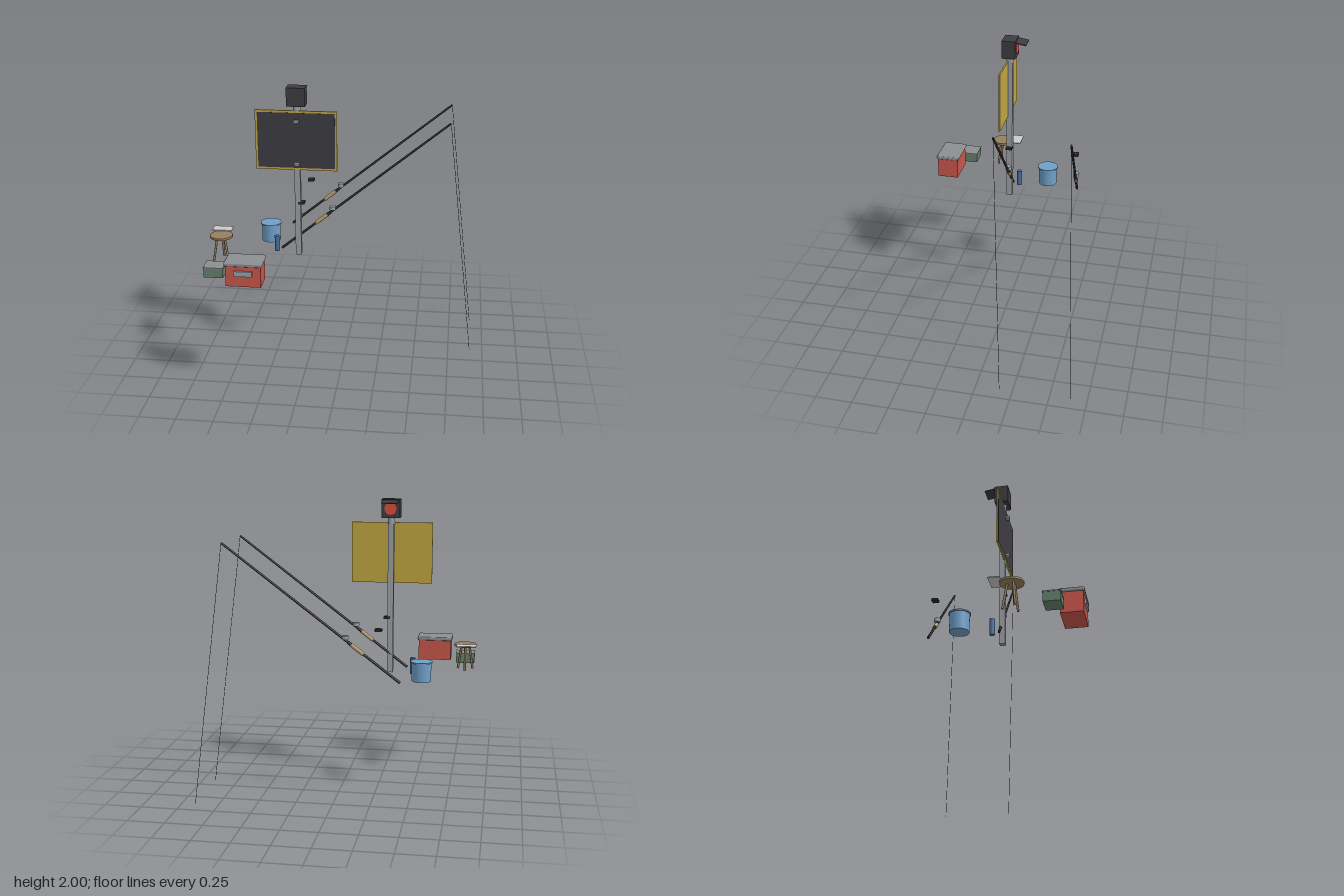
import * as THREE from 'three';
import { RoundedBoxGeometry } from 'three/addons/geometries/RoundedBoxGeometry.js';

const mat = (color) => new THREE.MeshStandardMaterial({ color });
const M = {
  dark: mat(0x3d3c42), black: mat(0x2b2b2e), steel: mat(0x9ca2a6), lid: mat(0x8c8e90),
  yellow: mat(0xc0a640), red: mat(0xc9564b), lens: mat(0xd8503c), green: mat(0x64806c),
  blue: mat(0x6f9fc8), navy: mat(0x4a6f9c), wood: mat(0x96805f), cork: mat(0xb59a70),
  paper: mat(0xc8c8c4),
};

function add(parent, name, geometry, material, x = 0, y = 0, z = 0) {
  const mesh = new THREE.Mesh(geometry, material);
  mesh.name = name;
  mesh.position.set(x, y, z);
  parent.add(mesh);
  return mesh;
}
const box = (parent, name, w, h, d, material, x, y, z) =>
  add(parent, name, new THREE.BoxGeometry(w, h, d), material, x, y, z);
const cyl = (parent, name, r, h, material, x, y, z, sides = 24) =>
  add(parent, name, new THREE.CylinderGeometry(r, r, h, sides), material, x, y, z);

// Round bar from point a to point b
function bar(parent, name, a, b, ra, rb, material, sides = 10) {
  const dir = b.clone().sub(a);
  const mesh = add(parent, name, new THREE.CylinderGeometry(rb, ra, dir.length(), sides), material);
  mesh.position.copy(a).addScaledVector(dir, 0.5);
  mesh.quaternion.setFromUnitVectors(new THREE.Vector3(0, 1, 0), dir.normalize());
  return mesh;
}

function group(parent, name, x = 0, y = 0, z = 0) {
  const g = new THREE.Group();
  g.name = name;
  g.position.set(x, y, z);
  parent.add(g);
  return g;
}

// Post with a framed board and a lamp facing backwards
function buildSign(root) {
  const g = group(root, 'signPost', -0.318, 0, 0);
  box(g, 'post', 0.04, 1.03, 0.04, M.steel, 0, 1.315, 0.037);
  box(g, 'boardFrame', 0.555, 0.414, 0.01, M.yellow, -0.004, 1.633, 0.053);
  box(g, 'boardPanel', 0.525, 0.384, 0.004, M.dark, -0.004, 1.633, 0.0575);
  for (const y of [1.77, 1.47]) box(g, 'boardBracket', 0.036, 0.017, 0.03, M.steel, 0, y, 0.071);

  cyl(g, 'lampNeck', 0.025, 0.05, M.steel, 0, 1.853, 0.037, 12);
  box(g, 'lampHousing', 0.126, 0.126, 0.095, M.dark, 0, 1.937, 0.037);
  cyl(g, 'lampLens', 0.042, 0.008, M.lens, 0, 1.937, -0.012).rotation.x = Math.PI / 2;
  box(g, 'lampVisor', 0.112, 0.006, 0.075, M.dark, 0, 1.983, -0.046).rotation.x = -0.18;
}

// Fishing rod with grip, reel, rest and hanging line
function buildRod(root, z) {
  const g = group(root, 'fishingRod', 0, 0, z);
  const butt = new THREE.Vector3(-0.438, 0.838, 0.037);
  const tip = new THREE.Vector3(0.71, 1.745, -0.082);
  const at = (t) => butt.clone().lerp(tip, t);
  bar(g, 'rodBlank', butt, tip, 0.009, 0.007, M.black);
  bar(g, 'rodGrip', at(0.208), at(0.278), 0.014, 0.014, M.cork, 12);
  bar(g, 'reelSeat', at(0.278), at(0.295), 0.011, 0.011, M.black);
  cyl(g, 'reel', 0.022, 0.026, M.steel, -0.083, 1.137, -0.003, 16);
  bar(g, 'fishingLine', tip, new THREE.Vector3(0.908, 0, -0.16), 0.0015, 0.0015, M.black, 5);
  box(g, 'rodRest', 0.045, 0.016, 0.045, M.black, -0.295, 1.185, 0.037);
}

// Three-legged stool
function buildStool(root) {
  const g = group(root, 'stool', -0.832, 0, 0.197);
  cyl(g, 'stoolSeat', 0.078, 0.015, M.wood, 0, 0.976, 0, 28);
  for (let i = 0; i < 3; i++) {
    const a = Math.PI / 6 + (i * Math.PI * 2) / 3;
    const ring = (r, y) => new THREE.Vector3(r * Math.cos(a), y, r * Math.sin(a));
    bar(g, 'stoolLeg', ring(0.06, 0.8), ring(0.03, 0.97), 0.008, 0.008, M.wood, 8);
  }
}

// Cool box, tackle box, bucket, flask and a loose sheet
function buildGear(root) {
  const cooler = group(root, 'coolBox', -0.596, 0, 0.551);
  box(cooler, 'coolBoxBody', 0.235, 0.145, 0.15, M.red, 0, 0.8725, 0);
  add(cooler, 'coolBoxLid', new RoundedBoxGeometry(0.252, 0.026, 0.168, 2, 0.008), M.lid, 0, 0.956, 0);
  box(cooler, 'coolBoxHandle', 0.12, 0.036, 0.014, M.steel, 0, 0.895, 0.081);

  const tackle = group(root, 'tackleBox', -0.824, 0, 0.452);
  box(tackle, 'tackleBody', 0.13, 0.065, 0.112, M.green, 0, 0.8325, 0);
  box(tackle, 'tackleLid', 0.136, 0.008, 0.118, M.lid, 0, 0.868, 0);

  const bucket = group(root, 'bucket', -0.557, 0, -0.2);
  cyl(bucket, 'bucketBody', 0.066, 0.13, M.blue, 0, 0.865, 0, 28);
  cyl(bucket, 'bucketRim', 0.074, 0.009, M.blue, 0, 0.93, 0, 28);

  cyl(root, 'flask', 0.018, 0.113, M.navy, -0.479, 0.8565, -0.001, 16);
  box(root, 'sheet', 0.136, 0.007, 0.077, M.paper, -0.842, 0.988, 0.096);
}

export function createModel() {
  const root = new THREE.Group();
  root.name = 'fishingSpot';
  buildSign(root);
  for (const z of [0, -0.477]) buildRod(root, z);
  buildStool(root);
  buildGear(root);
  return root;
}
